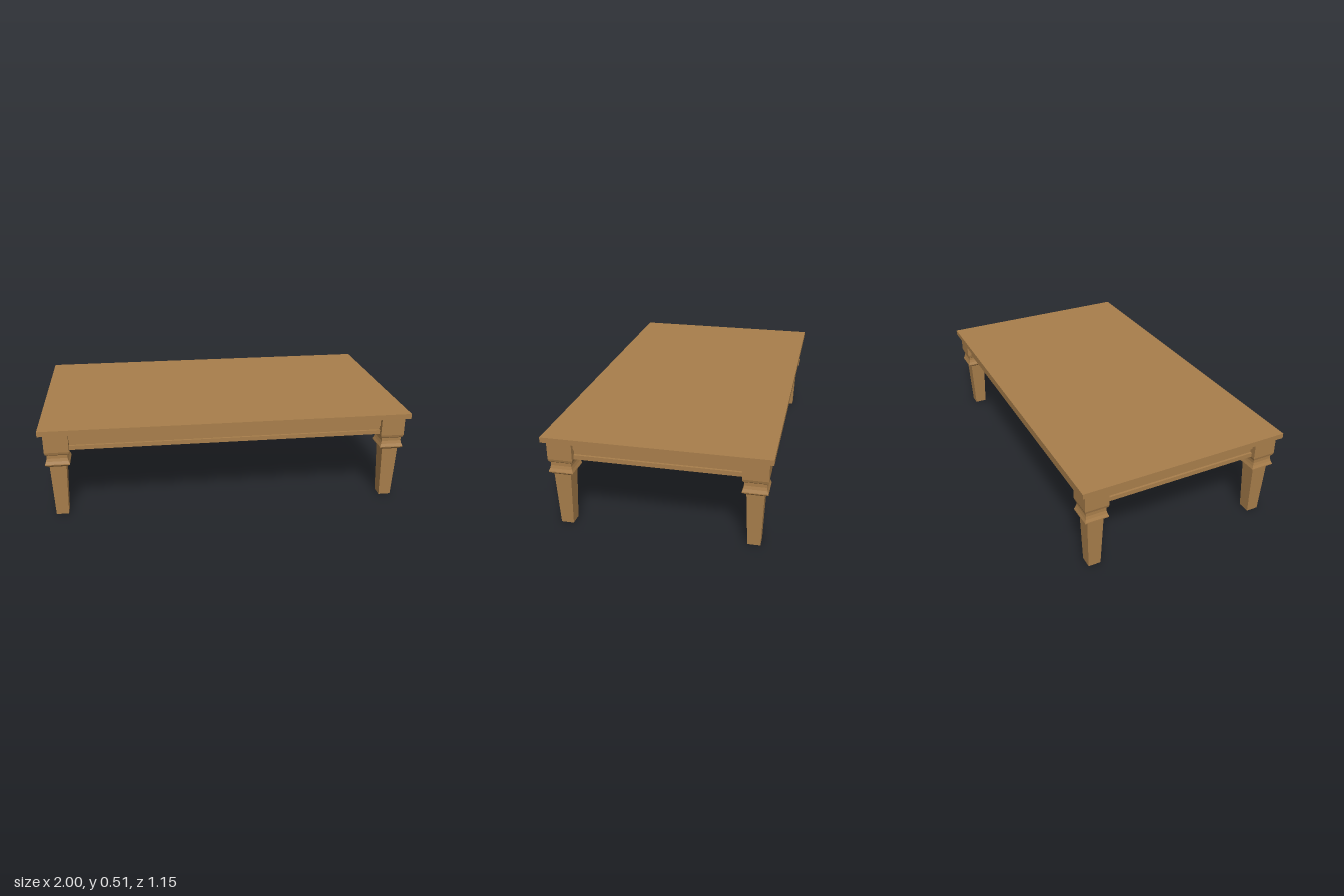
import * as THREE from 'three';

const wood = new THREE.MeshStandardMaterial({ color: 0xa87e4b });
wood.name = 'warm wood';

const TOP_Y = 0.482, LEG_X = 0.911, LEG_Z = 0.489;

function box(name, w, h, d, x, y, z) {
  const mesh = new THREE.Mesh(new THREE.BoxGeometry(w, h, d), wood);
  mesh.name = name;
  mesh.position.set(x, y, z);
  return mesh;
}

// Square leg turned from a profile of [half width, height]
function legGeometry() {
  const profile = [
    [0, 0], [0.033, 0], [0.044, 0.293], [0.048, 0.293], [0.064, 0.307],
    [0.064, 0.312], [0.058, 0.327], [0.054, 0.343], [0.054, 0.361],
    [0.061, 0.367], [0.0645, 0.38], [0.0645, TOP_Y], [0, TOP_Y],
  ].map(([r, y]) => new THREE.Vector2(r * Math.SQRT2, y));
  const geo = new THREE.LatheGeometry(profile, 4, Math.PI / 4).toNonIndexed();
  geo.computeVertexNormals();
  return geo;
}

// Apron rail along x with a groove on its outer (+z) face
function apron(name, length) {
  const shape = new THREE.Shape();
  const section = [
    [-0.1, 0.382], [0, 0.382], [0, 0.405], [-0.012, 0.405],
    [-0.012, 0.43], [0, 0.43], [0, TOP_Y], [-0.1, TOP_Y],
  ];
  shape.setFromPoints(section.map(([x, y]) => new THREE.Vector2(x, y)));
  const geo = new THREE.ExtrudeGeometry(shape, { depth: length, bevelEnabled: false });
  geo.translate(0, 0, -length / 2);
  geo.rotateY(-Math.PI / 2);
  const mesh = new THREE.Mesh(geo, wood);
  mesh.name = name;
  return mesh;
}

export function createModel() {
  const table = new THREE.Group();
  table.name = 'low table';

  table.add(box('tabletop', 2, 0.028, 1.15, 0, TOP_Y + 0.014, 0));

  // Four legs
  const geo = legGeometry();
  for (const sx of [-1, 1]) {
    for (const sz of [-1, 1]) {
      const leg = new THREE.Mesh(geo, wood);
      leg.name = `${sz > 0 ? 'front' : 'back'}${sx > 0 ? 'Left' : 'Right'}Leg`;
      leg.position.set(sx * LEG_X, 0, sz * LEG_Z);
      table.add(leg);
    }
  }

  // Four aprons between the legs
  const sides = [
    ['frontApron', 1.71, 0, 0.531, 0],
    ['backApron', 1.71, 0, -0.531, Math.PI],
    ['leftApron', 0.86, 0.953, 0, Math.PI / 2],
    ['rightApron', 0.86, -0.953, 0, -Math.PI / 2],
  ];
  for (const [name, length, x, z, turn] of sides) {
    const rail = apron(name, length);
    rail.position.set(x, 0, z);
    rail.rotation.y = turn;
    table.add(rail);
  }
  return table;
}
